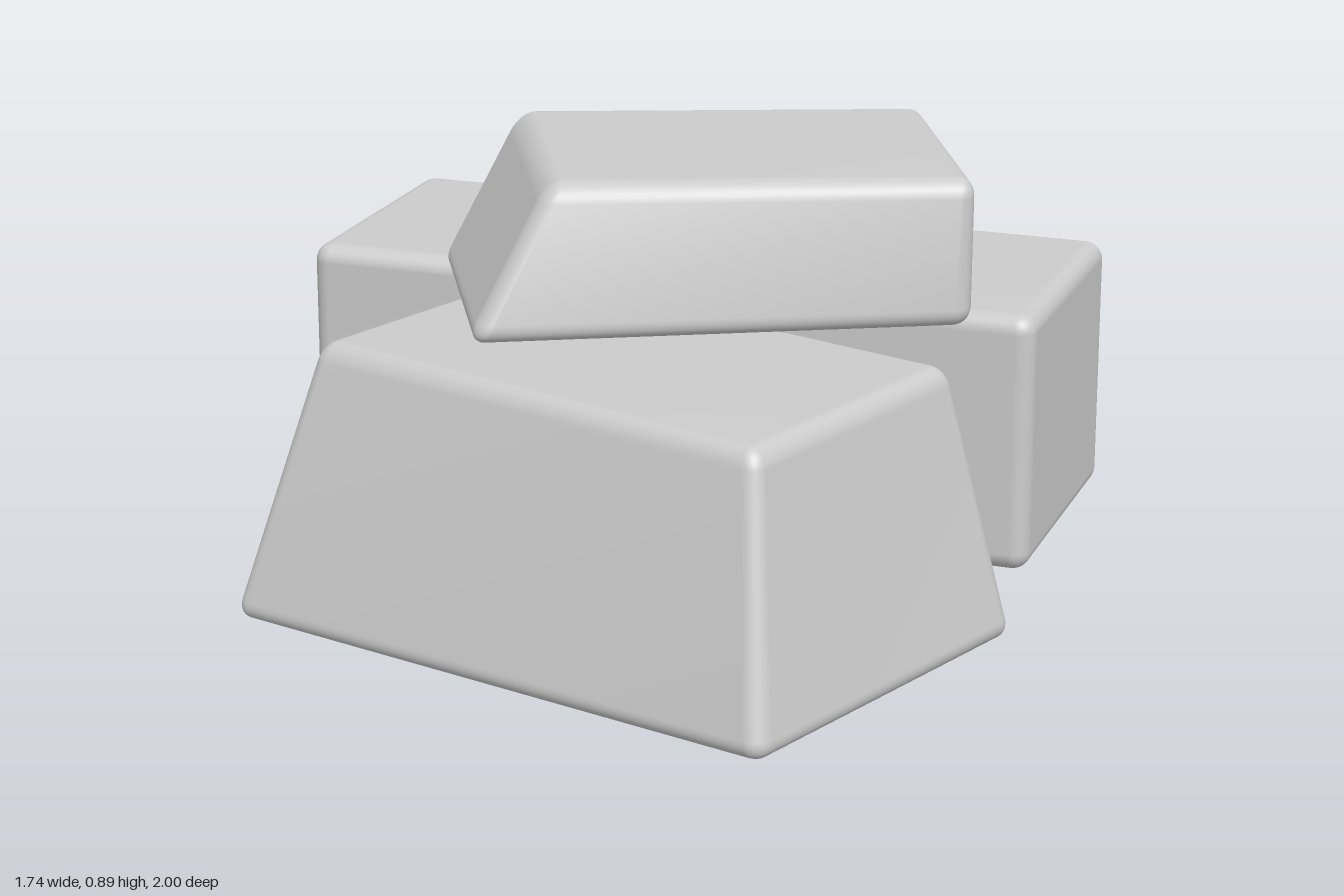
import * as THREE from 'three';
import { RoundedBoxGeometry } from 'three/addons/geometries/RoundedBoxGeometry.js';
import { mergeVertices } from 'three/addons/utils/BufferGeometryUtils.js';

const BEVEL = 0.04;
const material = new THREE.MeshStandardMaterial({ color: 0xcccccc });

// Point inside a four-cornered outline [backLeft, frontLeft, frontRight, backRight] of [x, z]
function inQuad(quad, u, w, axis) {
  const left = THREE.MathUtils.lerp(quad[0][axis], quad[1][axis], w);
  const right = THREE.MathUtils.lerp(quad[3][axis], quad[2][axis], w);
  return THREE.MathUtils.lerp(left, right, u);
}

// Rounded block whose bottom and top outlines may differ
function stone(name, bottom, top, y0, y1) {
  const side = (i, j) => Math.hypot(bottom[i][0] - bottom[j][0], bottom[i][1] - bottom[j][1]);
  const width = side(0, 3), depth = side(0, 1), height = y1 - y0;
  let geometry = new RoundedBoxGeometry(width, height, depth, 4, BEVEL);
  geometry.deleteAttribute('normal');
  geometry.deleteAttribute('uv');
  geometry = mergeVertices(geometry, 1e-4);

  // Warp the straight box into the space between the two outlines
  const p = geometry.attributes.position;
  for (let i = 0; i < p.count; i++) {
    const u = p.getX(i) / width + 0.5;
    const v = p.getY(i) / height + 0.5;
    const w = p.getZ(i) / depth + 0.5;
    const at = (axis) => THREE.MathUtils.lerp(inQuad(bottom, u, w, axis), inQuad(top, u, w, axis), v);
    p.setXYZ(i, at(0), y0 + v * height, at(1));
  }
  geometry.computeVertexNormals();
  const mesh = new THREE.Mesh(geometry, material);
  mesh.name = name;
  return mesh;
}

export function createModel() {
  const group = new THREE.Group();
  group.name = 'stonePile';

  // Long straight block at the back
  const back = [[-0.75, -1.008], [-0.875, -0.372], [0.75, -0.052], [0.875, -0.688]];
  group.add(stone('backStone', back, back, 0.005, 0.575));

  // Tapered block in front
  group.add(stone('frontStone',
    [[-0.435, -0.275], [-0.865, 0.44], [0.32, 1.025], [0.755, 0.29]],
    [[-0.355, -0.25], [-0.69, 0.31], [0.285, 0.855], [0.605, 0.275]],
    0.005, 0.575));

  // Slab resting across both
  group.add(stone('topStone',
    [[-0.56, -0.27], [-0.375, 0.33], [0.633, 0.045], [0.455, -0.575]],
    [[-0.41, -0.435], [-0.23, 0.185], [0.633, 0.025], [0.462, -0.59]],
    0.58, 0.892));

  return group;
}
